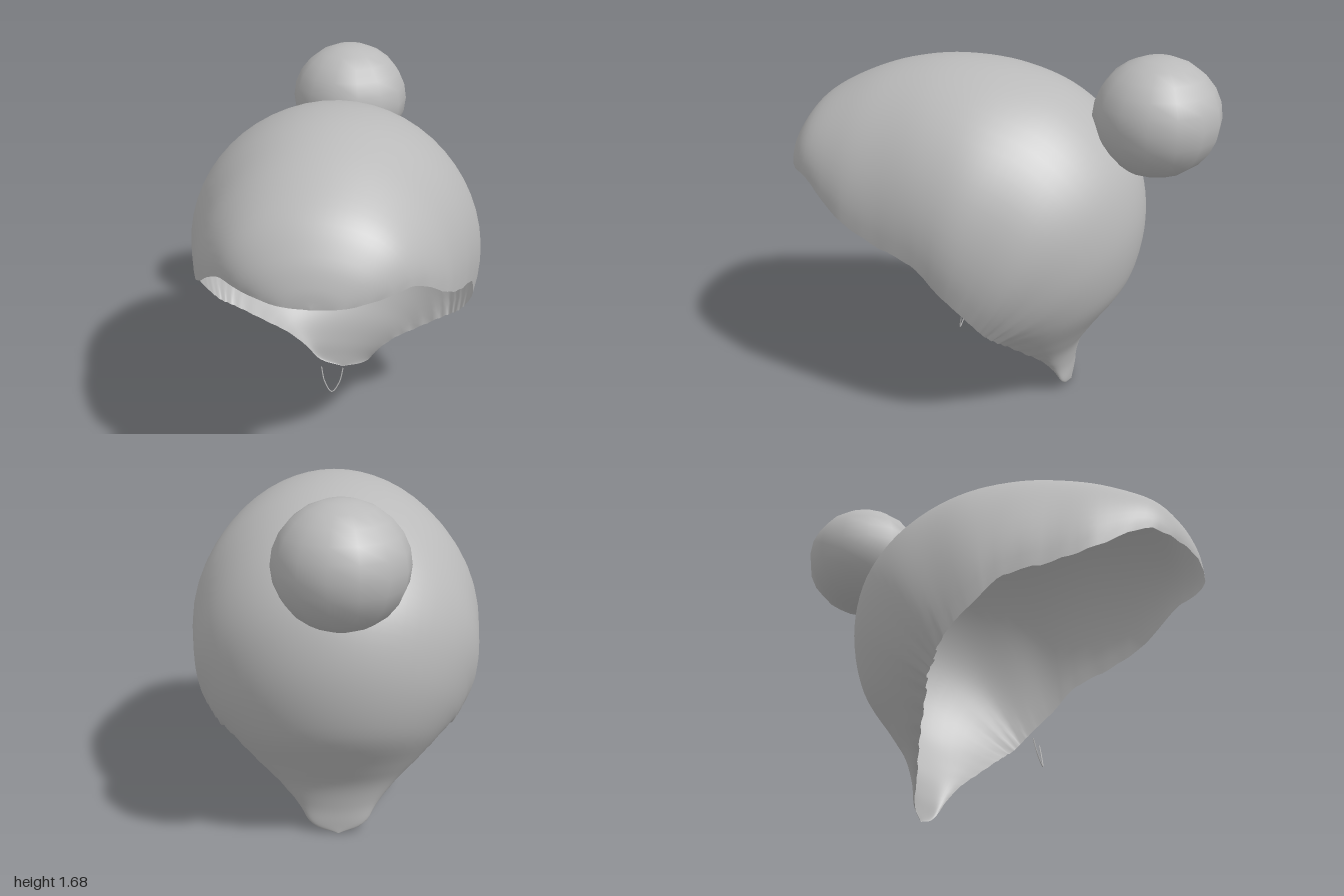
import * as THREE from 'three';

const hairMaterial = new THREE.MeshStandardMaterial({ color: 0xbababa, side: THREE.DoubleSide });
hairMaterial.name = 'hair grey';

// Stations from the fringe over the crown to the nape:
// centre line [y, z], rim [x, y, z], sweep angle of the section
const STATIONS = [
  [1.085, 0.995, 0.00, 1.08, 0.995, 1.57],
  [1.17, 0.98, 0.14, 1.085, 0.98, 1.57],
  [1.28, 0.93, 0.29, 1.105, 0.91, 1.57],
  [1.41, 0.82, 0.41, 1.11, 0.80, 1.57],
  [1.52, 0.62, 0.53, 0.99, 0.61, 1.6],
  [1.585, 0.42, 0.59, 0.91, 0.42, 1.65],
  [1.612, 0.20, 0.64, 0.85, 0.22, 1.72],
  [1.59, -0.05, 0.655, 0.74, 0.10, 1.84],
  [1.51, -0.30, 0.65, 0.65, 0.00, 1.84],
  [1.36, -0.50, 0.625, 0.57, -0.07, 1.87],
  [1.16, -0.64, 0.59, 0.52, -0.10, 1.83],
  [0.90, -0.69, 0.555, 0.48, -0.14, 1.7],
  [0.62, -0.64, 0.49, 0.43, -0.17, 1.6],
  [0.40, -0.50, 0.38, 0.335, -0.23, 1.57],
  [0.27, -0.42, 0.28, 0.25, -0.28, 1.57],
  [0.15, -0.385, 0.19, 0.15, -0.32, 1.57],
  [0.06, -0.375, 0.12, 0.05, -0.355, 1.57],
  [0.005, -0.37, 0.00, 0.005, -0.37, 1.57],
];

// Open cap of hair lofted between its centre line and its ragged rim
function hairCapGeometry(rows = 85, half = 16) {
  const spine = new THREE.CatmullRomCurve3(
    STATIONS.map(([y, z, , , , sweep]) => new THREE.Vector3(sweep, y, z)), false, 'catmullrom');
  const rim = new THREE.CatmullRomCurve3(
    STATIONS.map(([, , x, y, z]) => new THREE.Vector3(x, y, z)), false, 'catmullrom');
  const positions = [];
  const index = [];
  const cols = half * 2 + 1;
  for (let i = 0; i <= rows; i++) {
    const t = i / rows;
    const p = spine.getPoint(t);
    const r = rim.getPoint(t);
    // small ripple gives the rim its uneven strands
    const ripple = 0.007 * Math.sin(i * 1.9) * Math.sin(Math.PI * t);
    for (let j = -half; j <= half; j++) {
      const s = Math.abs(j) / half;
      const a = s * p.x;
      const u = (1 - Math.cos(a)) / (1 - Math.cos(p.x));
      const x = Math.sign(j) * r.x * Math.sin(a) / Math.sin(p.x);
      const wave = ripple * s ** 12;
      positions.push(x, p.y + (r.y - p.y) * u + wave, p.z + (r.z - p.z) * u + wave);
    }
  }
  for (let i = 0; i < rows; i++) {
    for (let j = 0; j < cols - 1; j++) {
      const a = i * cols + j;
      const b = a + cols;
      index.push(a, a + 1, b, a + 1, b + 1, b);
    }
  }
  const geometry = new THREE.BufferGeometry();
  geometry.setAttribute('position', new THREE.Float32BufferAttribute(positions, 3));
  geometry.setIndex(index);
  geometry.computeVertexNormals();
  return geometry;
}

// Thin V-shaped wisp, hanging free below the front
function wispGeometry() {
  const curve = new THREE.CatmullRomCurve3([
    new THREE.Vector3(-0.052, 0.33, 0.18),
    new THREE.Vector3(-0.036, 0.26, 0.195),
    new THREE.Vector3(0, 0.21, 0.208),
    new THREE.Vector3(0.036, 0.26, 0.195),
    new THREE.Vector3(0.052, 0.33, 0.18),
  ]);
  return new THREE.TubeGeometry(curve, 20, 0.003, 5);
}

export function createModel() {
  const model = new THREE.Group();
  model.name = 'hairWithBun';
  const add = (name, geometry) => {
    const mesh = new THREE.Mesh(geometry, hairMaterial);
    mesh.name = name;
    model.add(mesh);
    return mesh;
  };

  add('hairCap', hairCapGeometry());

  // Round bun at the back of the crown
  const bun = add('bun', new THREE.SphereGeometry(0.287, 14, 12));
  bun.scale.y = 0.945;
  bun.position.set(0, 1.41, -0.72);

  add('wisp', wispGeometry());
  return model;
}
